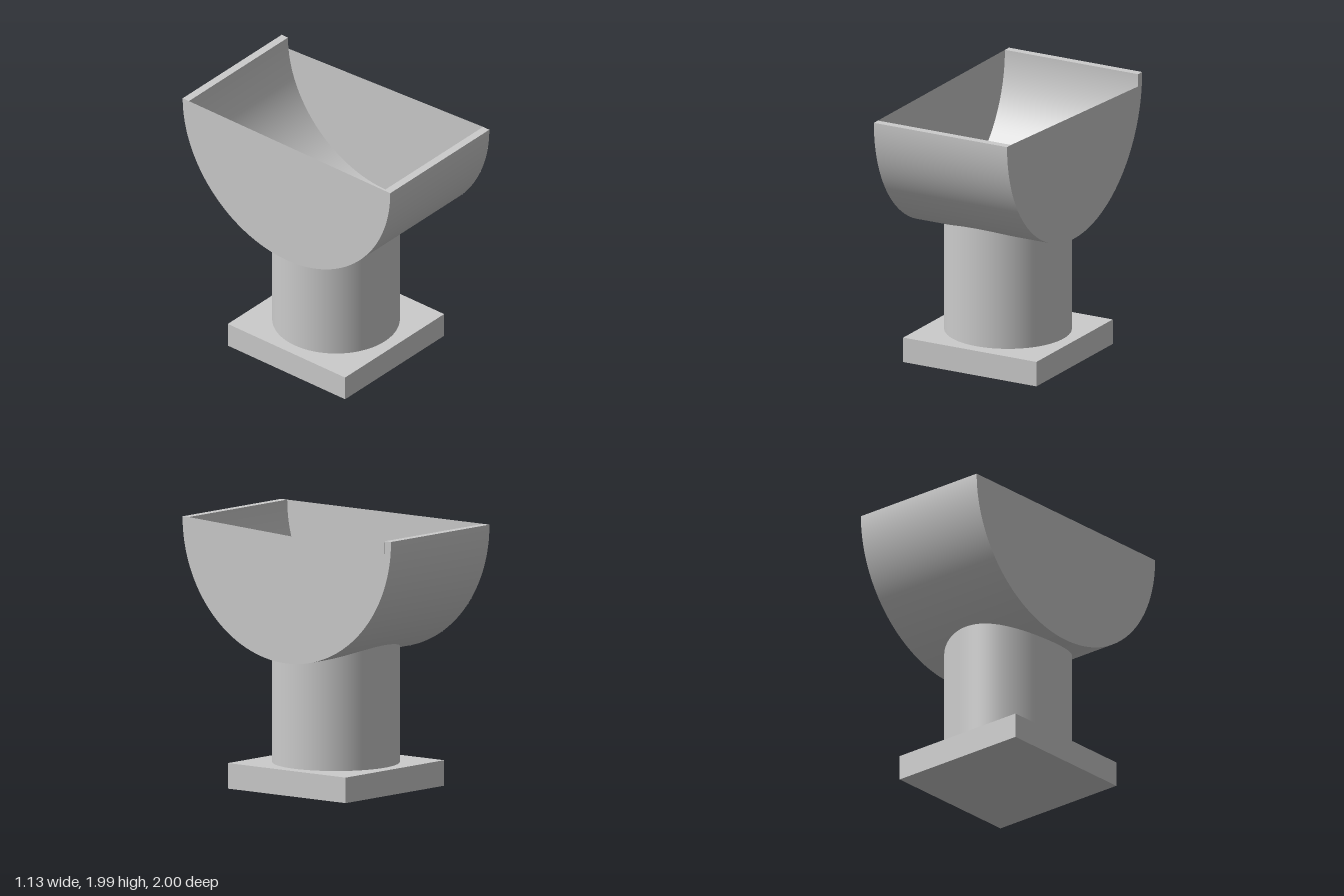
import * as THREE from 'three';
import { ParametricGeometry } from 'three/addons/geometries/ParametricGeometry.js';

const W = 0.565;      // half width of trough and base
const R = 1;          // outer trough radius
const RI = 0.94;      // inner trough radius
const TOP = 1.985;    // rim height, also the trough axis
const BASE = 0.19;    // base thickness
const COL = 0.47;     // column radius
const PIT = 0.41;     // straight edge of the shallow recesses in the trough floor

const innerY = (z) => TOP - Math.sqrt(RI * RI - z * z);

export function createModel() {
  const group = new THREE.Group();
  const solid = new THREE.MeshStandardMaterial({ color: 0xcccccc });
  const thin = new THREE.MeshStandardMaterial({ color: 0xcccccc, side: THREE.DoubleSide });
  const add = (name, geometry, material, x = 0, y = 0, z = 0) => {
    const mesh = new THREE.Mesh(geometry, material);
    mesh.name = name;
    mesh.position.set(x, y, z);
    group.add(mesh);
    return mesh;
  };

  // Square base
  add('base', new THREE.BoxGeometry(2 * W, BASE, 2 * W), solid, 0, BASE / 2, 0);

  // Round column, its top edge following the trough floor
  const column = new THREE.CylinderGeometry(COL, COL, 1, 96, 1, true);
  const p = column.attributes.position;
  for (let i = 0; i < p.count; i++) p.setY(i, p.getY(i) > 0 ? innerY(p.getZ(i)) : BASE);
  add('column', column, thin);

  // Outer half cylinder of the trough
  const outer = new THREE.CylinderGeometry(R, R, 2 * W, 96, 1, true, Math.PI, Math.PI);
  outer.rotateZ(Math.PI / 2);
  add('troughOuter', outer, solid, 0, TOP, 0);

  // Inner floor in bands, leaving two segment-shaped openings above the column
  const band = (t0, t1, x0, x1, steps) => {
    const geometry = new ParametricGeometry((u, v, target) => {
      const t = t0 + (t1 - t0) * u;
      const z = RI * Math.sin(t);
      const a = x0(z), b = x1(z);
      target.set(a + (b - a) * v, TOP - RI * Math.cos(t), z);
    }, steps, 1);
    add('troughFloor', geometry, thin);
  };
  const tA = Math.asin(PIT / RI), tB = Math.asin(COL / RI), end = Math.PI / 2;
  const left = () => W, right = () => -W;
  const hole = (z) => Math.sqrt(Math.max(0, COL * COL - z * z));
  band(-end, -tB, right, left, 32);
  band(-tA, tA, right, left, 28);
  band(tB, end, right, left, 32);
  for (const [a, b] of [[-tB, -tA], [tA, tB]]) {
    band(a, b, right, (z) => -hole(z), 16);
    band(a, b, hole, left, 16);
  }

  // Flat bottoms of the two recesses
  const a0 = Math.asin(PIT / COL);
  const segment = new THREE.Shape();
  segment.absarc(0, 0, COL, a0, Math.PI - a0, false);
  for (const turn of [0, Math.PI]) {
    const flat = new THREE.ShapeGeometry(segment, 24);
    flat.rotateX(-Math.PI / 2).rotateY(turn);
    add('recessFloor', flat, thin, 0, innerY(PIT), 0);
  }

  // Front and back rims
  for (const s of [1, -1]) {
    const rim = new THREE.PlaneGeometry(2 * W, R - RI);
    rim.rotateX(-Math.PI / 2);
    add(s > 0 ? 'frontRim' : 'backRim', rim, thin, 0, TOP, s * (R + RI) / 2);
  }

  // Thin end walls; the left one slopes down to a notch at the back
  for (const s of [1, -1]) {
    const wall = new THREE.Shape();
    wall.absarc(0, 0, R, Math.PI, 2 * Math.PI, false);
    if (s > 0) {
      wall.lineTo(RI, 0);
      wall.lineTo(-RI, -0.095);
      wall.lineTo(-RI, 0);
    }
    const geometry = new THREE.ShapeGeometry(wall, 96);
    geometry.rotateY(-Math.PI / 2);
    add(s > 0 ? 'leftWall' : 'rightWall', geometry, thin, s * W, TOP, 0);
  }

  return group;
}
